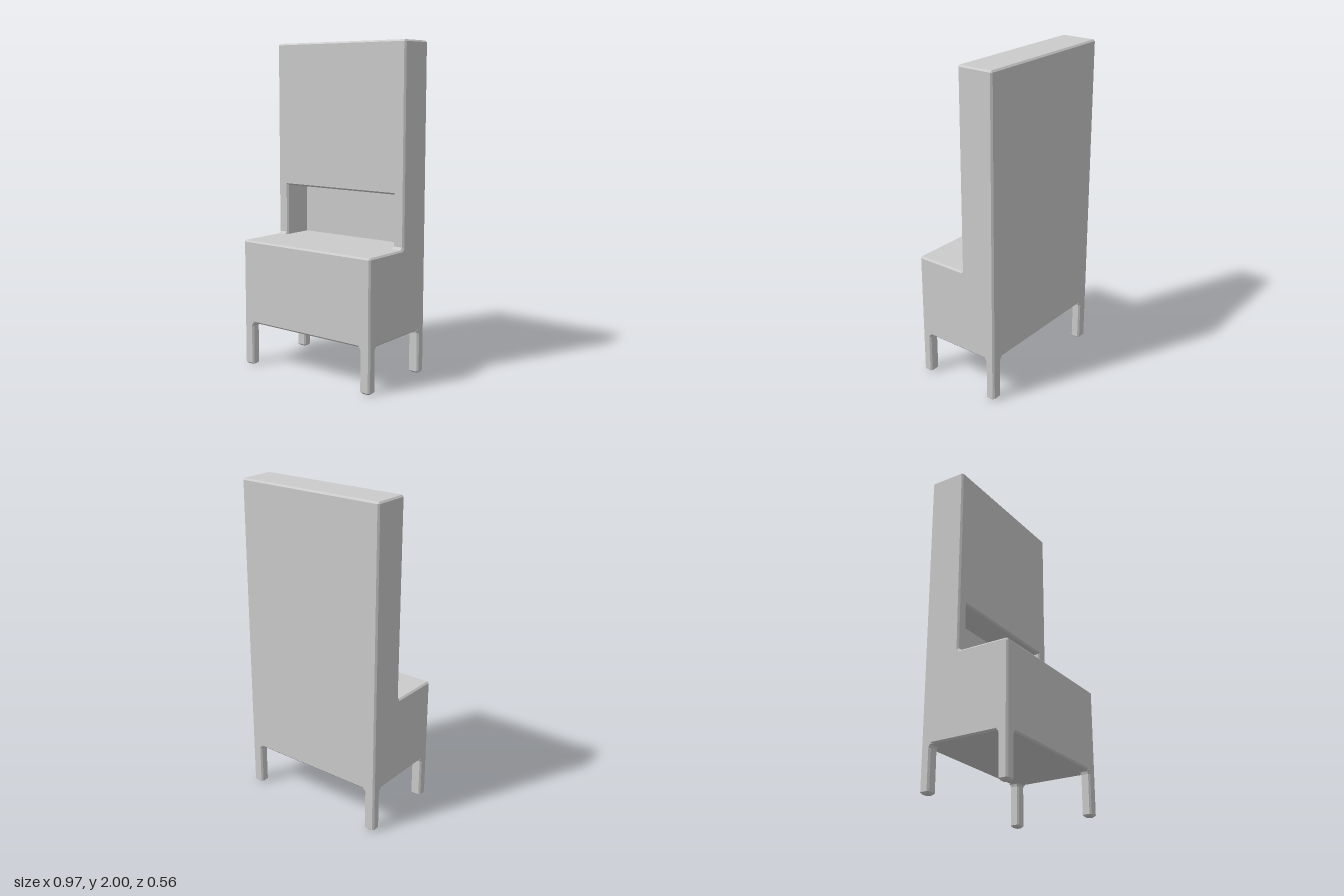
import * as THREE from 'three';

const C = 0.01; // chamfer width
const material = new THREE.MeshStandardMaterial({ color: 0xcccccc, flatShading: true });

// Skin a stack of outlines { h, pts: [[a, b], ...] }, closing both ends.
function loft(rings, place) {
  const pos = [];
  const tri = (...corners) => {
    const [p, q, r] = corners;
    const area = q.clone().sub(p).cross(r.clone().sub(p)).length();
    if (area > 1e-9) corners.forEach((v) => pos.push(v.x, v.y, v.z));
  };
  const loops = rings.map(({ h, pts }) => pts.map(([a, b]) => place(a, b, h)));
  for (let k = 0; k + 1 < loops.length; k++) {
    const lo = loops[k], hi = loops[k + 1];
    lo.forEach((p, i) => {
      const j = (i + 1) % lo.length;
      tri(p, hi[i], hi[j]);
      tri(p, hi[j], lo[j]);
    });
  }
  const cap = (k, flip) => {
    const flat = rings[k].pts.map(([a, b]) => new THREE.Vector2(a, b));
    for (const [i, j, l] of THREE.ShapeUtils.triangulateShape(flat, [])) {
      if (flip) tri(loops[k][i], loops[k][l], loops[k][j]);
      else tri(loops[k][i], loops[k][j], loops[k][l]);
    }
  };
  cap(0, false);
  cap(rings.length - 1, true);
  const geo = new THREE.BufferGeometry();
  geo.setAttribute('position', new THREE.Float32BufferAttribute(pos, 3));
  geo.computeVertexNormals();
  return geo;
}

// Side outline (z, y) of the cabinet; the niche points are passed in.
const profile = (niche) => [
  [0.27, 0.27], [0.28, 0.28], [0.28, 0.78], [0.27, 0.79], [-0.035, 0.79],
  ...niche,
  [-0.05, 1.12], [-0.05, 1.99], [-0.06, 2], [-0.27, 2], [-0.28, 1.99], [-0.28, 0.28], [-0.27, 0.27],
];

function cabinetGeometry() {
  const solid = profile([[-0.05, 0.805], [-0.05, 1.12], [-0.05, 1.12]]);
  const lip = profile([[-0.06, 0.79], [-0.06, 1.11], [-0.06, 1.11]]);
  const open = profile([[-0.24, 0.79], [-0.24, 1.11], [-0.06, 1.11]]);
  // Slightly shrunken outline for the chamfered ends
  const end = solid.map(([z, y]) => [
    Math.abs(z) >= 0.27 ? Math.sign(z) * 0.27 : z - C,
    y >= 1.99 ? 1.99 : y <= 0.28 ? 0.28 : y - C,
  ]);
  const half = [[0.485, end], [0.475, solid], [0.42, solid], [0.41, lip], [0.41, open]];
  const rings = [
    ...half.map(([x, pts]) => ({ h: -x, pts })),
    ...half.reverse().map(([x, pts]) => ({ h: x, pts })),
  ];
  return loft(rings, (z, y, x) => new THREE.Vector3(x, y, z));
}

// Rectangle with cut corners, running from x to z
function cutRect(x0, x1, z0, z1) {
  return [
    [x0 + C, z0], [x1 - C, z0], [x1, z0 + C], [x1, z1 - C],
    [x1 - C, z1], [x0 + C, z1], [x0, z1 - C], [x0, z0 + C],
  ];
}

// Leg with a chamfered foot that flares inward where it meets the cabinet
function legGeometry(sx, sz) {
  const ring = (h, inset, flare) => {
    const xs = [sx * (0.415 + inset - flare), sx * (0.485 - inset)].sort((a, b) => a - b);
    const zs = [sz * (0.22 + inset - flare), sz * (0.28 - inset)].sort((a, b) => a - b);
    return { h, pts: cutRect(...xs, ...zs) };
  };
  const rings = [ring(0, C, 0), ring(C, 0, 0), ring(0.25, 0, 0), ring(0.265, 0, 0.005), ring(0.27, 0, 0.015), ring(0.28, 0, 0.015)];
  return loft(rings, (x, z, y) => new THREE.Vector3(x, y, z));
}

export function createModel() {
  const group = new THREE.Group();
  group.name = 'cabinet';
  const add = (name, geo) => {
    const mesh = new THREE.Mesh(geo, material);
    mesh.name = name;
    group.add(mesh);
  };

  // Low counter, tall back and niche in one body
  add('cabinetBody', cabinetGeometry());

  for (const sx of [1, -1]) {
    for (const sz of [1, -1]) {
      add((sz > 0 ? 'front' : 'back') + (sx > 0 ? 'Left' : 'Right') + 'Leg', legGeometry(sx, sz));
    }
  }
  return group;
}
